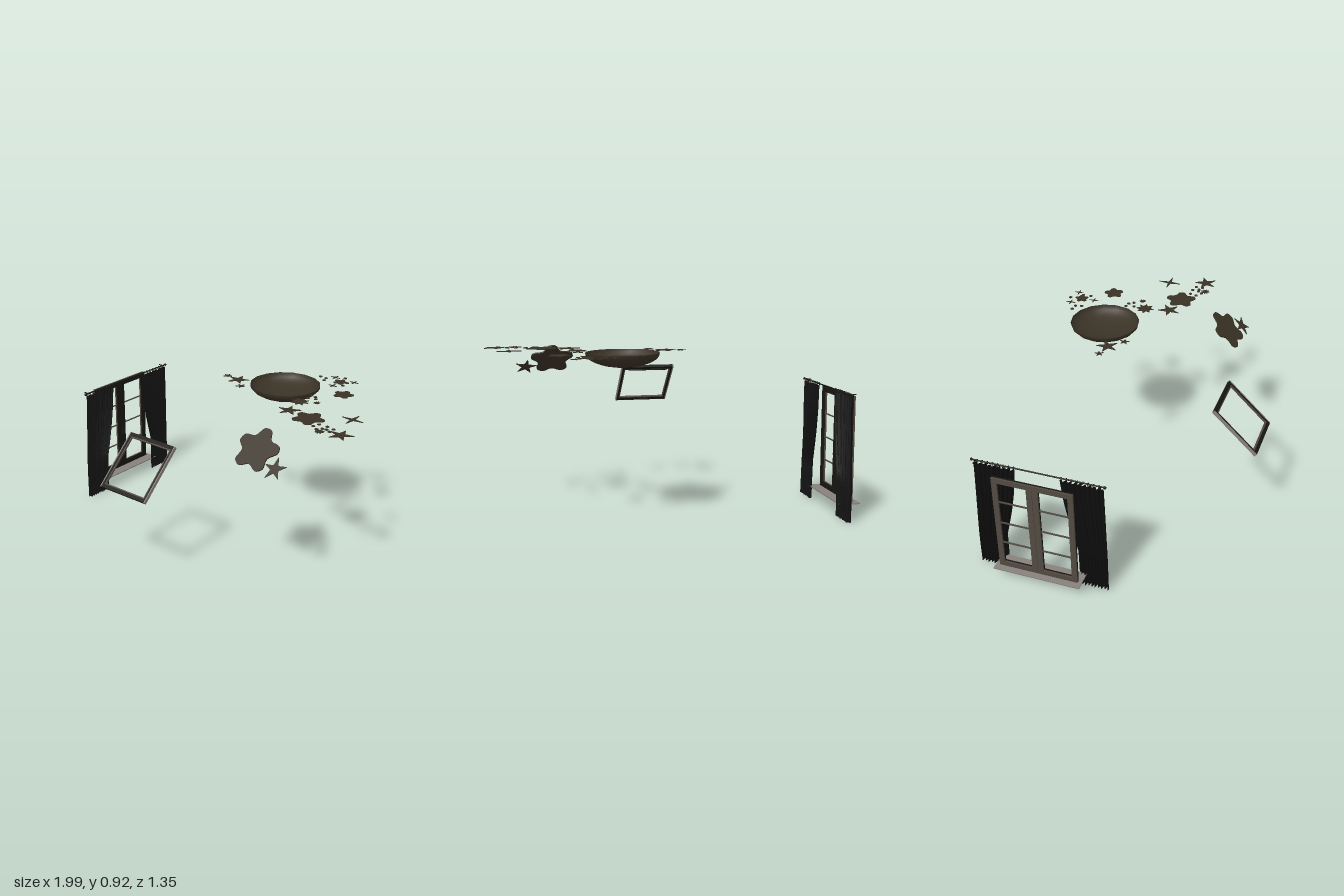
import * as THREE from 'three';

const mat = (name, color, side = THREE.FrontSide) => {
  const m = new THREE.MeshStandardMaterial({ color, side });
  m.name = name;
  return m;
};

export function createModel() {
  const root = new THREE.Group();
  const cloth = mat('black cloth', 0x0f0f0f, THREE.DoubleSide);
  const dark = mat('dark frame', 0x191613);
  const brown = mat('brown grey frame', 0x524a42);
  const grey = mat('warm grey', 0x87817c);
  const glow = mat('dark olive brown', 0x3a3226, THREE.DoubleSide);

  const add = (parent, name, geo, material, x = 0, y = 0, z = 0) => {
    const m = new THREE.Mesh(geo, material);
    m.name = name;
    m.position.set(x, y, z);
    parent.add(m);
    return m;
  };
  const box = (parent, name, material, w, h, d, x, y, z) =>
    add(parent, name, new THREE.BoxGeometry(w, h, d), material, x, y, z);
  const group = (name) => {
    const g = new THREE.Group();
    g.name = name;
    root.add(g);
    return g;
  };

  // ---- Casement window in the side wall: dark indoors, lighter outdoors
  const win = group('window');
  const zc = -0.298;
  box(win, 'windowSill', grey, 0.12, 0.006, 0.49, -0.94, 0.07, zc);
  for (const [label, m, x] of [['inner', dark, -0.949], ['outer', brown, -0.959]]) {
    box(win, label + 'TopRail', m, 0.01, 0.03, 0.446, x, 0.65, zc);
    box(win, label + 'BottomRail', m, 0.01, 0.03, 0.446, x, 0.087, zc);
    for (const s of [-1, 1]) {
      box(win, label + 'Stile', m, 0.01, 0.536, 0.03, x, 0.368, zc + s * 0.208);
      box(win, label + 'MeetingStile', m, 0.01, 0.536, 0.031, x, 0.368, zc + s * 0.0165);
    }
  }
  for (const y of [0.235, 0.37, 0.508])
    for (const s of [-1, 1]) box(win, 'glazingBar', brown, 0.008, 0.006, 0.165, -0.954, y, zc + s * 0.1125);
  box(win, 'handlePlate', dark, 0.006, 0.05, 0.012, -0.941, 0.33, zc - 0.01);
  box(win, 'handleLever', dark, 0.008, 0.035, 0.009, -0.932, 0.318, zc - 0.01);

  // ---- Pleated curtains, gathered towards the outside
  const ramp = (table, y) => {
    for (let i = 1; i < table.length; i++) {
      const [y0, w0] = table[i - 1], [y1, w1] = table[i];
      if (y <= y1) return w0 + ((w1 - w0) * (y - y0)) / (y1 - y0);
    }
    return table[table.length - 1][1];
  };
  const innerEdge = [[0, 0.207], [0.225, 0.203], [0.32, 0.18], [0.42, 0.158], [0.54, 0.137], [0.69, 0.122]];
  const outerEdge = [[0, 0.37], [0.2, 0.369], [0.69, 0.356]];
  const curtain = (s) => {
    const geo = new THREE.PlaneGeometry(1, 1, 96, 24);
    const p = geo.attributes.position;
    for (let i = 0; i < p.count; i++) {
      const u = p.getX(i) + 0.5;
      const y = (p.getY(i) + 0.5) * 0.68;
      const a = ramp(innerEdge, y), b = ramp(outerEdge, y);
      const pleat = Math.sin(u * Math.PI * 18) * (0.007 + 0.004 * (1 - y)) + 0.003 * Math.sin(u * 23 + y * 6);
      p.setXYZ(i, -0.885 + pleat, y, zc + s * (a + (b - a) * u));
    }
    geo.computeVertexNormals();
    add(root, s > 0 ? 'frontCurtain' : 'backCurtain', geo, cloth);
  };
  curtain(1);
  curtain(-1);

  // ---- Curtain rod with rings, brackets and finials
  const rod = group('curtainRod');
  add(rod, 'rod', new THREE.CylinderGeometry(0.004, 0.004, 0.72, 10), dark, -0.885, 0.692, zc).rotation.x = Math.PI / 2;
  for (const s of [-1, 1]) {
    add(rod, 'finial', new THREE.SphereGeometry(0.008, 10, 8), dark, -0.885, 0.692, zc + s * 0.364);
    box(rod, 'bracket', dark, 0.034, 0.005, 0.005, -0.9, 0.692, zc + s * 0.34);
    for (let i = 0; i < 8; i++)
      add(rod, 'ring', new THREE.TorusGeometry(0.008, 0.0015, 6, 12), dark, -0.885, 0.69, zc + s * (0.13 + i * 0.029));
  }

  // ---- Roof window frame on the slope
  const slope = -0.81;
  const sky = group('roofWindow');
  sky.position.set(-0.005, 0.632, 0.54);
  sky.rotation.x = slope;
  const W = 0.32, H = 0.34;
  for (const s of [-1, 1]) {
    box(sky, 'outerSide', grey, 0.006, H, 0.018, s * (W / 2 - 0.003), 0, 0);
    box(sky, 'outerEnd', dark, W - 0.012, 0.006, 0.018, 0, s * (H / 2 - 0.003), 0);
    box(sky, 'sashSide', dark, 0.011, H - 0.012, 0.014, s * (W / 2 - 0.0115), 0, 0);
    box(sky, 'sashEnd', dark, W - 0.034, 0.014, 0.014, 0, s * (H / 2 - 0.013), 0);
    box(sky, 'beadSide', brown, 0.007, H - 0.04, 0.01, s * (W / 2 - 0.0205), 0, 0);
    box(sky, 'beadEnd', brown, W - 0.048, 0.007, 0.01, 0, s * (H / 2 - 0.0235), 0);
  }
  box(sky, 'openingBar', dark, 0.24, 0.006, 0.006, 0, H / 2 - 0.016, -0.015);

  // ---- Bowl shaped ceiling lamp, open at the top
  const profile = [];
  for (let i = 0; i <= 10; i++) {
    const t = (i / 10) * Math.PI / 2;
    profile.push(new THREE.Vector2(0.199 * Math.sin(t), -0.079 * Math.cos(t)));
  }
  add(root, 'ceilingLamp', new THREE.LatheGeometry(profile, 16), glow, 0.29, 0.915, -0.368);

  // ---- Thin star plates
  const starShape = (n, R, r, turn, soft) => {
    const pts = [];
    for (let i = 0; i < n * 2; i++) {
      const a = Math.PI / 2 + turn + (i * Math.PI) / n;
      const q = i % 2 ? r : R;
      if (soft && i % 2 === 0) {
        // blunt tips
        for (const d of [-0.17, 0.17]) pts.push(new THREE.Vector2(Math.cos(a + d) * q, Math.sin(a + d) * q));
      } else pts.push(new THREE.Vector2(Math.cos(a) * q, Math.sin(a) * q));
    }
    if (!soft) return new THREE.Shape(pts);
    const curve = new THREE.CatmullRomCurve3(pts.map((v) => new THREE.Vector3(v.x, v.y, 0)), true);
    return new THREE.Shape(curve.getPoints(60).slice(0, -1).map((v) => new THREE.Vector2(v.x, v.y)));
  };
  const plate = (shape, depth) => new THREE.ExtrudeGeometry(shape, { depth, bevelEnabled: false });
  const kinds = {
    sharp: (R, t) => starShape(5, R, R * 0.36, t, false),
    soft: (R, t) => starShape(5, R, R * 0.7, t, true),
    cross: (R, t) => starShape(4, R, R * 0.2, t, false),
    burst: (R, t) => starShape(8, R, R * 0.58, t, false),
  };
  const ceiling = group('ceilingStars');
  ceiling.position.y = 0.911;
  ceiling.rotation.x = -Math.PI / 2;
  const stars = [
    ['sharp', -0.05, -0.275, 0.026, 0.1], ['sharp', 0.038, -0.26, 0.064, 0.2], ['sharp', 0.113, -0.185, 0.029, -0.2],
    ['cross', 0.445, -0.645, 0.03, 0], ['cross', 0.573, -0.64, 0.028, 0], ['cross', 0.508, -0.52, 0.028, 0],
    ['cross', 0.868, -0.158, 0.066, 0], ['soft', 0.508, -0.598, 0.039, 0], ['soft', 0.632, -0.438, 0.056, 0.1],
    ['soft', 0.682, -0.028, 0.086, -0.1], ['burst', 0.508, -0.198, 0.052, 0.1], ['burst', 0.825, 0.083, 0.026, 0],
    ['burst', 0.59, -0.24, 0.019, 0], ['sharp', 0.538, -0.058, 0.066, 0.35], ['sharp', 0.932, 0.055, 0.068, 0.15],
  ];
  for (const [kind, x, z, R, t] of stars) add(ceiling, kind + 'Star', plate(kinds[kind](R, t), 0.004), glow, x, -z, 0);
  const dots = [
    [0.498, -0.667], [0.37, -0.605], [0.41, -0.6], [0.42, -0.565], [0.55, -0.605], [0.552, -0.557],
    [0.503, -0.315], [0.535, -0.308], [0.555, -0.283], [0.513, -0.268],
    [0.77, 0.005], [0.82, 0.005], [0.865, 0.015], [0.76, 0.043], [0.815, 0.043], [0.865, 0.053], [0.795, 0.067], [0.838, 0.04],
  ];
  for (const [x, z] of dots) {
    const d = add(ceiling, 'dot', new THREE.CylinderGeometry(0.01, 0.01, 0.004, 12), glow, x, -z, 0.002);
    d.rotation.x = Math.PI / 2;
  }

  // ---- Two stars on the sloping ceiling
  const sloped = group('slopedStars');
  sloped.position.set(0.592, 0.823, 0.287);
  sloped.rotation.x = slope;
  add(sloped, 'bigSoftStar', plate(kinds.soft(0.122, -0.05), 0.008), glow, 0, -0.006, -0.004);
  add(sloped, 'slopeSharpStar', plate(kinds.sharp(0.066, 0.15), 0.004), glow, 0.148, -0.075, -0.002);

  return root;
}
